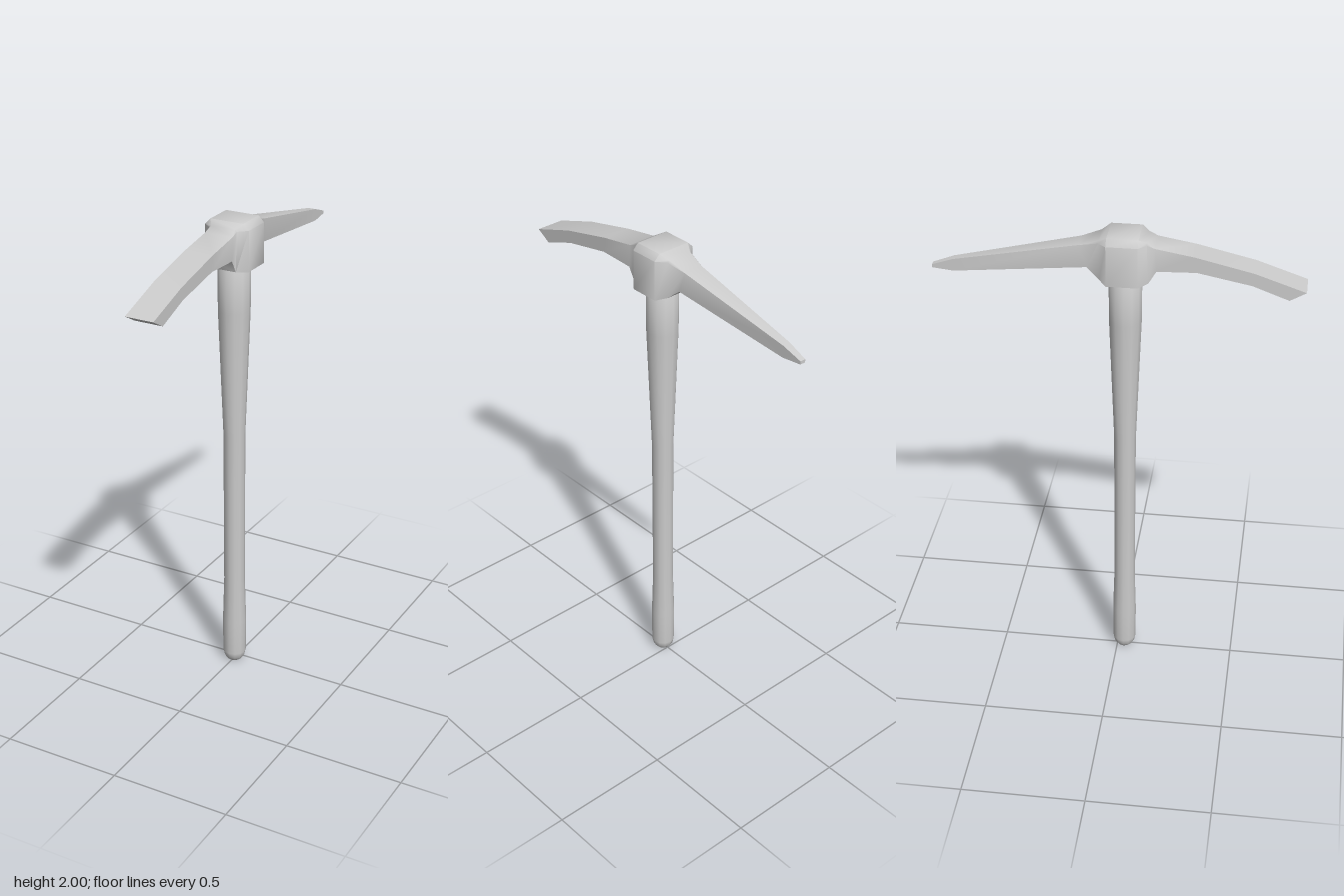
import * as THREE from 'three';
import { toCreasedNormals } from 'three/addons/utils/BufferGeometryUtils.js';

const material = new THREE.MeshStandardMaterial({ color: 0xcccccc });

// Cross-section of the head: half width w, top and bottom edges, top chamfer c
function ring([zt, yt, zb, yb, w, c]) {
  return [
    [w, yb, zb], [w, yt - c, zt], [w - c, yt, zt],
    [c - w, yt, zt], [-w, yt - c, zt], [-w, yb, zb],
  ];
}

// Skin a closed solid through sections ordered from front to back
function loft(sections) {
  const rings = sections.map(ring);
  const n = rings[0].length;
  const pos = [];
  const tri = (...pts) => pts.forEach((p) => pos.push(...p));
  for (let i = 0; i < rings.length - 1; i++) {
    const a = rings[i], b = rings[i + 1];
    for (let j = 0; j < n; j++) {
      const k = (j + 1) % n;
      tri(a[j], b[j], b[k]);
      tri(a[j], b[k], a[k]);
    }
  }
  const first = rings[0], last = rings[rings.length - 1];
  for (let j = 1; j < n - 1; j++) {
    tri(first[0], first[j], first[j + 1]);
    tri(last[0], last[j + 1], last[j]);
  }
  const geometry = new THREE.BufferGeometry();
  geometry.setAttribute('position', new THREE.Float32BufferAttribute(pos, 3));
  return toCreasedNormals(geometry, 0.9);
}

export function createModel() {
  const group = new THREE.Group();
  group.name = 'pickaxe';

  // Head: flat adze blade, eye block, tapering spike
  const head = new THREE.Mesh(loft([
    // zTop, yTop, zBottom, yBottom, halfWidth, chamfer
    [0.73, 1.815, 0.666, 1.778, 0.06, 0],
    [0.53, 1.883, 0.523, 1.831, 0.06, 0],
    [0.30, 1.937, 0.31, 1.873, 0.06, 0],
    [0.15, 1.963, 0.156, 1.868, 0.06, 0],
    [0.118, 1.983, 0.125, 1.815, 0.06, 0.008],
    [0.088, 2.0, 0.088, 1.81, 0.096, 0.024],
    [-0.035, 2.0, -0.035, 1.81, 0.096, 0.024],
    [-0.068, 1.98, -0.065, 1.82, 0.06, 0.008],
    [-0.146, 1.953, -0.115, 1.862, 0.043, 0],
    [-0.645, 1.85, -0.645, 1.80, 0.017, 0],
    [-0.73, 1.82, -0.73, 1.807, 0.012, 0],
  ]), material);
  head.name = 'head';

  // Handle: slim shaft swelling into the eye and at the rounded butt
  const profile = [
    [0, 0], [0.03, 0.003], [0.043, 0.02], [0.049, 0.045], [0.05, 0.2],
    [0.044, 0.4], [0.045, 1.08], [0.065, 1.62], [0.066, 1.83], [0, 1.83],
  ].map(([r, y]) => new THREE.Vector2(r, y));
  const handle = new THREE.Mesh(new THREE.LatheGeometry(profile, 12), material);
  handle.name = 'handle';
  handle.position.z = 0.03;

  group.add(head, handle);
  return group;
}
